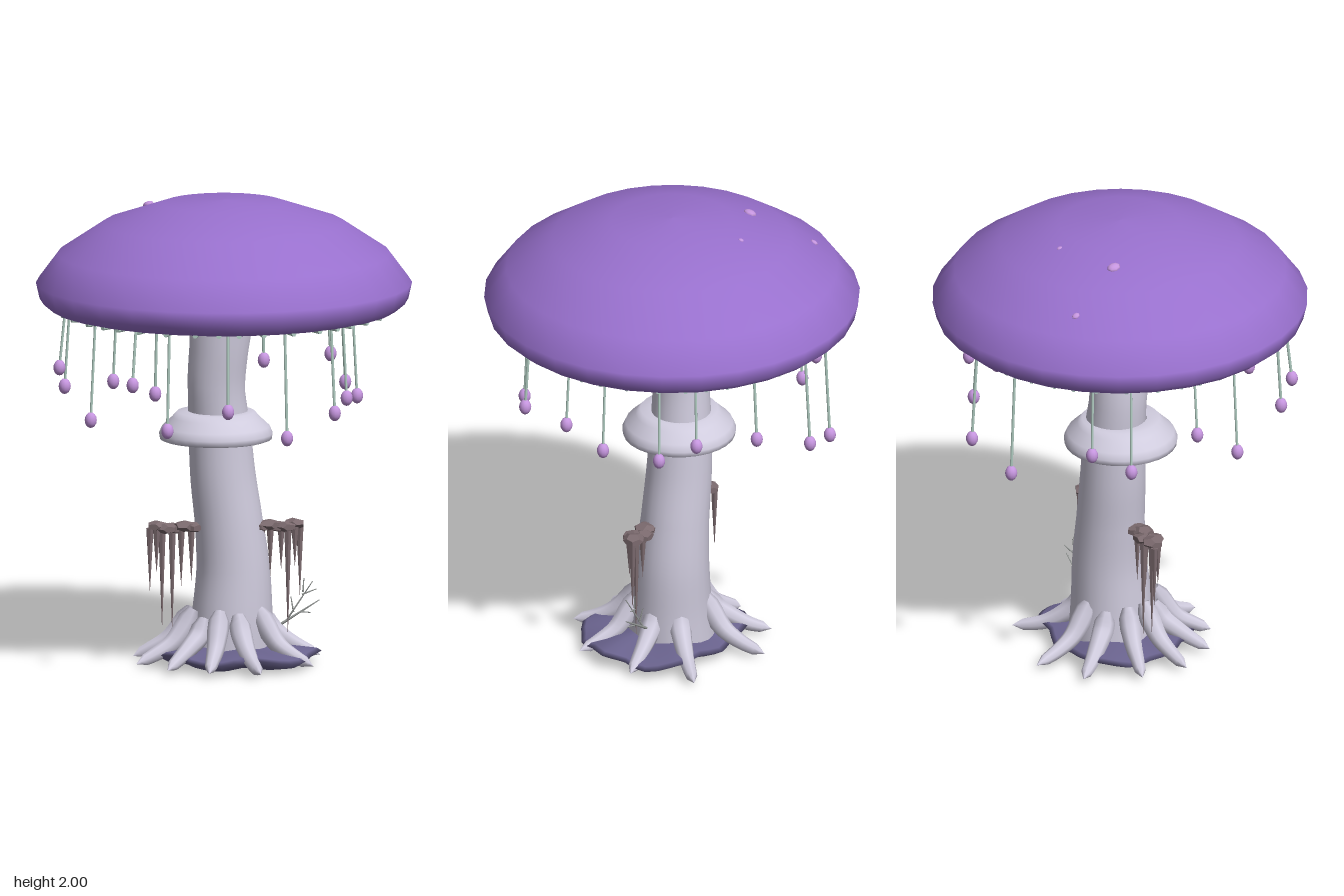
import * as THREE from 'three';

const paint = (name, color, extra = {}) => {
  const m = new THREE.MeshStandardMaterial({ color, ...extra });
  m.name = name;
  return m;
};
const V = (x, y, z) => new THREE.Vector3(x, y, z);

// Tapered tube: radii are spread evenly along a smooth path
function taperedTube(points, radii, segments, sides) {
  const curve = new THREE.CatmullRomCurve3(points);
  const geo = new THREE.TubeGeometry(curve, segments, 1, sides);
  const pos = geo.attributes.position;
  const v = V(0, 0, 0);
  for (let i = 0; i <= segments; i++) {
    const c = curve.getPointAt(i / segments);
    const f = (i / segments) * (radii.length - 1);
    const k = Math.min(Math.floor(f), radii.length - 2);
    const r = THREE.MathUtils.lerp(radii[k], radii[k + 1], f - k);
    for (let j = 0; j <= sides; j++) {
      const n = i * (sides + 1) + j;
      v.fromBufferAttribute(pos, n).sub(c).multiplyScalar(r).add(c);
      pos.setXYZ(n, v.x, v.y, v.z);
    }
  }
  return geo;
}

const lathe = (pts, sides) =>
  new THREE.LatheGeometry(pts.map(([r, y]) => new THREE.Vector2(r, y)), sides);

export function createModel() {
  const root = new THREE.Group();
  root.name = 'giantMushroom';
  const purple = paint('cap purple', 0x9870cd);
  const pale = paint('pale stem', 0xd0ccde, { side: THREE.DoubleSide });
  const under = paint('underside grey green', 0xa6beb6);
  const sage = paint('gill sage', 0xb4d0c5);
  const lilac = paint('bulb lilac', 0xc696df);
  const soil = paint('dark violet soil', 0x6a638e);
  const bark = paint('dark brown', 0x7b6a6e, { flatShading: true });
  const twigGrey = paint('twig grey', 0x989c9a);

  const add = (name, geo, mat, parent = root) => {
    const m = new THREE.Mesh(geo, mat);
    m.name = name;
    parent.add(m);
    return m;
  };
  const group = (name) => {
    const g = new THREE.Group();
    g.name = name;
    root.add(g);
    return g;
  };

  // Cap
  add('cap', lathe([[0.7, 1.53], [0.74, 1.54], [0.782, 1.575], [0.798, 1.645], [0.705, 1.77],
    [0.51, 1.9], [0.26, 1.985], [0, 2]], 30), purple);
  add('capUnderside', new THREE.CircleGeometry(0.72, 30).rotateX(Math.PI / 2).translate(0, 1.532, 0), under);

  // Radial gills
  const gills = group('gills');
  for (let i = 0; i < 40; i++) {
    const g = new THREE.CylinderGeometry(0.011, 0.008, 0.59, 6).rotateZ(-Math.PI / 2).translate(0.415, 1.53, 0);
    add('gill', g.rotateY((i / 40) * Math.PI * 2 + 0.03 * Math.sin(i * 5)), sage, gills);
  }

  // Small flecks on the cap
  for (const [x, y, z, s] of [[-0.3, 1.95, -0.2, 0.03], [-0.415, 1.83, -0.45, 0.018], [-0.045, 1.962, -0.32, 0.013]]) {
    const fleck = add('capFleck', new THREE.SphereGeometry(s, 8, 6).scale(0.8, 0.5, 1), lilac);
    fleck.position.set(x, y, z);
    fleck.rotation.set(z * 0.9, 0, -x * 0.9);
  }

  // Hanging strands with bulbs
  const bulbs = [[-0.455, 1.31, 0.58], [-0.05, 1.19, 0.6], [-0.31, 1.115, 0.61], [0.2, 1.075, 0.615],
    [0.42, 1.155, 0.47], [-0.595, 1.105, 0.235], [0.5, 1.175, 0.21], [0.57, 1.145, -0.02],
    [0.55, 1.16, -0.29], [-0.645, 1.16, -0.31], [-0.43, 1.165, -0.38], [0.505, 1.255, -0.45],
    [0.235, 1.21, -0.58], [-0.22, 1.06, -0.655], [-0.7, 1.29, -0.02], [0.02, 1.135, -0.71]];
  const hanging = group('hangingBulbs');
  for (const [x, y, z] of bulbs) {
    const path = new THREE.LineCurve3(V(x * 0.965, 1.535, z * 0.965), V(x, y, z));
    add('strand', new THREE.TubeGeometry(path, 1, 0.006, 6), sage, hanging);
    add('bulb', new THREE.SphereGeometry(0.026, 12, 8).scale(1, 1.3, 1).translate(x, y - 0.003, z), lilac, hanging);
  }

  // Leaning stem
  add('stem', taperedTube(
    [V(0.03, 0.03, -0.02), V(0.037, 0.2, -0.02), V(0.042, 0.4, -0.028), V(0.025, 0.6, -0.032), V(0, 0.8, -0.035),
      V(-0.015, 1, -0.035), V(-0.03, 1.2, -0.025), V(-0.02, 1.37, -0.01), V(-0.006, 1.54, 0)],
    [0.19, 0.172, 0.157, 0.145, 0.14, 0.134, 0.122, 0.126, 0.14], 32, 24), pale);

  // Collar, hollow below
  add('collar', lathe([[0.13, 1.06], [0.18, 1.03], [0.205, 0.975], [0.225, 0.967], [0.238, 0.972], [0.242, 0.995],
    [0.228, 1.025], [0.185, 1.065], [0.165, 1.088], [0.11, 1.088]], 28), pale).position.set(-0.033, 0, -0.015);

  // Spreading roots with blunt tips: angle in degrees, reach
  const roots = group('roots');
  const rootList = [[77, 0.44], [107, 0.4], [135, 0.4], [165, 0.41], [-165, 0.4], [-130, 0.43],
    [-98, 0.44], [-45, 0.47], [-8, 0.41], [35, 0.42]];
  rootList.forEach(([deg, reach], i) => {
    const a = THREE.MathUtils.degToRad(deg);
    const h = 0.02 * Math.sin(i * 2.3);
    const p = (r, y) => V(0.01 + r * Math.cos(a), y, r * Math.sin(a));
    add('root', taperedTube([p(0.15, 0.235 + h), p(0.19, 0.165 + h), p(0.25, 0.105), p(0.33, 0.06), p(reach, 0.026)],
      [0.025, 0.045, 0.046, 0.042, 0.038, 0.034, 0.03, 0.025, 0], 16, 8), pale, roots);
  });

  // Uneven soil mound, reaching further toward the two back corners
  const mound = lathe([[0, 0.012], [0.2, 0.012], [0.29, 0.03], [0.33, 0.055], [0.31, 0.068], [0.2, 0.085], [0, 0.1]], 40);
  const mp = mound.attributes.position;
  const lobe = (a, dir) => Math.max(0, Math.cos(a - dir)) ** 6;
  for (let i = 0; i < mp.count; i++) {
    const x = mp.getX(i), z = mp.getZ(i), r = Math.hypot(x, z), a = Math.atan2(z, x);
    const k = 1 + 0.03 * Math.sin(7 * a) + 0.03 * Math.sin(11 * a)
      + 0.28 * lobe(a, -Math.PI * 0.75) + 0.17 * lobe(a, -Math.PI / 4) + 0.06 * lobe(a, Math.PI / 4);
    mp.setXYZ(i, x * k + 0.055, mp.getY(i) + r * 0.04 * Math.sin(5 * a + 0.5), z * k * 0.9 + 0.04);
  }
  mound.computeVertexNormals();
  add('soilMound', mound, soil);

  // Side shelves with hanging spikes: [x, tip height]
  const shelves = {
    leftShelf: [1, [[0.16, 0.45], [0.195, 0.38], [0.245, 0.4], [0.272, 0.12], [0.3, 0.42], [0.325, 0.28]]],
    rightShelf: [-1, [[0.14, 0.36], [0.185, 0.34], [0.22, 0.13], [0.265, 0.15], [0.29, 0.4], [0.315, 0.31]]],
  };
  for (const [name, [side, spikes]] of Object.entries(shelves)) {
    const g = group(name);
    const shift = side > 0 ? 0.018 : 0;
    for (let i = 0; i < 5; i++) {
      const lump = add('shelfLump', new THREE.DodecahedronGeometry(1).scale(0.046, 0.024, 0.05), bark, g);
      lump.position.set(side * (0.135 + shift + i * 0.037), 0.595 + 0.006 * Math.sin(i * 2), 0.01 + 0.012 * Math.sin(i * 2.6));
      lump.rotation.y = i * 1.3;
    }
    spikes.forEach(([x, tip], i) => {
      const len = 0.59 - tip;
      const cone = new THREE.ConeGeometry(0.017, len, 6).rotateX(Math.PI);
      add('spike', cone.translate(side * x, 0.59 - len / 2, 0.005 + 0.018 * Math.sin(i * 2.1)), bark, g);
    });
  }

  // Bare twig
  const twig = group('twig');
  const sticks = [[0.19, 0.13, 0.41, 0.265], [0.27, 0.18, 0.38, 0.35], [0.335, 0.29, 0.4, 0.31],
    [0.34, 0.3, 0.345, 0.36], [0.33, 0.215, 0.37, 0.215], [0.3, 0.215, 0.29, 0.28]];
  sticks.forEach(([x1, y1, x2, y2], i) => {
    const z = -0.03 + 0.02 * Math.sin(i * 2);
    add('twigBranch', taperedTube([V(x1, y1, -0.03), V(x2, y2, z)], [i ? 0.004 : 0.008, 0.002], 2, 5), twigGrey, twig);
  });
  return root;
}
